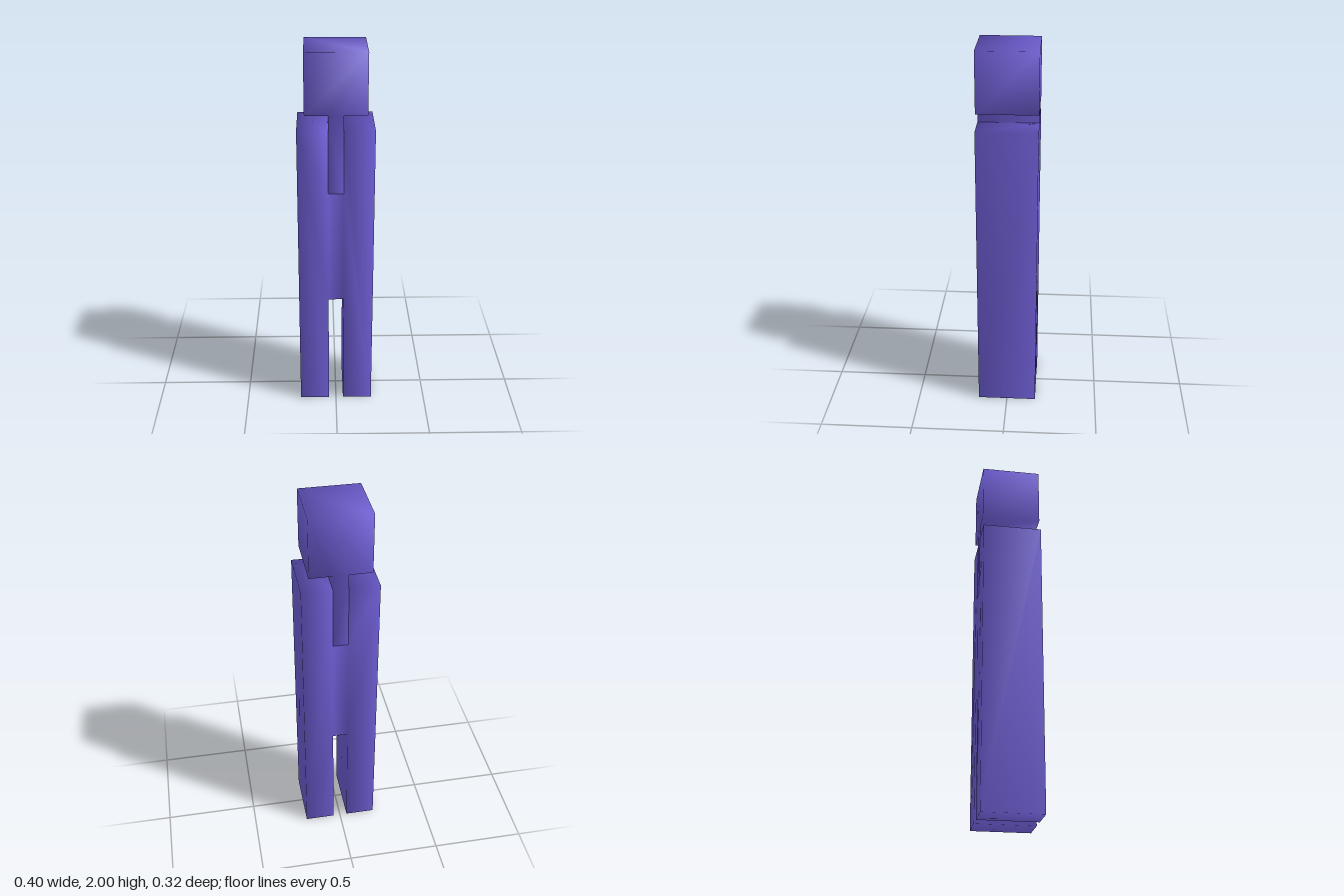
import * as THREE from 'three';
import { mergeVertices } from 'three/addons/utils/BufferGeometryUtils.js';

const DEPTH = 0.32;

export function createModel() {
  const group = new THREE.Group();
  const material = new THREE.MeshStandardMaterial({ color: 0x6a5acd });

  // Mirrors a half outline (x > 0, bottom to top) and extrudes it, with normals shared across corners
  function addSlab(name, half) {
    const outline = [...half, ...half.map(([x, y]) => [-x, y]).reverse()];
    const shape = new THREE.Shape(outline.map(([x, y]) => new THREE.Vector2(x, y)));
    let geometry = new THREE.ExtrudeGeometry(shape, { depth: DEPTH, bevelEnabled: false });
    geometry.translate(0, 0, -DEPTH / 2);
    geometry.deleteAttribute('normal');
    geometry.deleteAttribute('uv');
    geometry = mergeVertices(geometry);
    geometry.computeVertexNormals();
    const mesh = new THREE.Mesh(geometry, material);
    mesh.name = name;
    group.add(mesh);
  }

  // Two tall side columns joined by a bridge in the middle
  addSlab('body', [[0.04, 0.64], [0.04, 0], [0.2, 0], [0.2, 1.6], [0.04, 1.6], [0.04, 1.26]]);

  // Cube head on a narrow neck that fills the upper slot of the body
  addSlab('headAndNeck', [[0.04, 1.26], [0.04, 1.68], [0.16, 1.68], [0.16, 2]]);

  return group;
}
